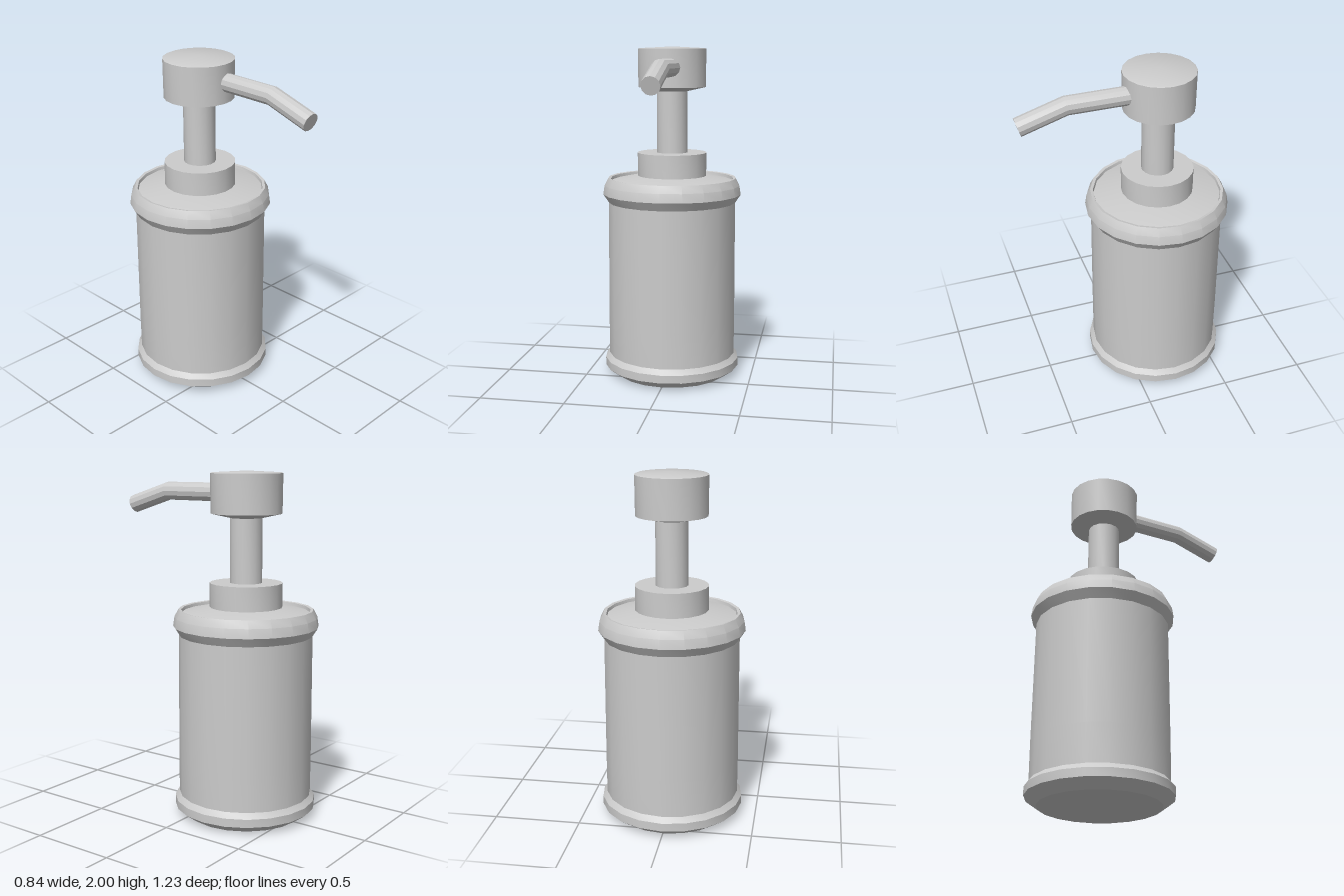
import * as THREE from 'three';
import { toCreasedNormals } from 'three/addons/utils/BufferGeometryUtils.js';

const AXIS_Z = -0.2;

export function createModel() {
  const model = new THREE.Group();
  const material = new THREE.MeshStandardMaterial({ color: 0xcccccc });

  const add = (name, geometry) => {
    const mesh = new THREE.Mesh(toCreasedNormals(geometry, 0.4), material);
    mesh.name = name;
    model.add(mesh);
    return mesh;
  };
  // Turned part around the bottle axis, profile as [radius, height] from bottom to top
  const turn = (name, profile, sides = 20) => {
    const points = profile.map(([r, y]) => new THREE.Vector2(r, y));
    add(name, new THREE.LatheGeometry(points, sides)).position.z = AXIS_Z;
  };

  // Bottle
  turn('base', [[0, 0.003], [0.345, 0.003], [0.413, 0.052], [0.413, 0.1], [0.388, 0.13], [0.37, 0.13]]);
  turn('bottleBody', [[0.388, 0.1], [0.389, 0.35], [0.386, 1.08]]);
  turn('topRim', [[0.385, 1.07], [0.419, 1.122], [0.411, 1.175], [0.388, 1.219], [0.372, 1.216], [0.368, 1.198]]);
  turn('lid', [[0.37, 1.198], [0.21, 1.232], [0, 1.234]]);

  // Pump
  turn('collar', [[0.209, 1.225], [0.209, 1.371], [0, 1.371]]);
  turn('stem', [[0.093, 1.36], [0.093, 1.75]], 16);
  turn('pumpHead', [[0, 1.737], [0.09, 1.737], [0.203, 1.762], [0.205, 1.986], [0.195, 1.99], [0, 2]]);

  // Spout: a cylinder whose three rings are placed along the bent path
  const r = 0.053;
  const bend = 0.303;
  const rings = [
    { y: 1.878, z: -0.1, tilt: 0 },
    { y: 1.878, z: 0.333, tilt: bend / 2 },
    { y: 1.795, z: 0.599, tilt: bend },
  ];
  const spout = new THREE.CylinderGeometry(r, r, 2, 12, 2).rotateX(Math.PI / 2);
  const pos = spout.attributes.position;
  for (let i = 0; i < pos.count; i++) {
    const ring = rings[Math.round(pos.getZ(i)) + 1];
    const up = pos.getY(i);
    pos.setXYZ(i, pos.getX(i) + 0.027, ring.y + up * Math.cos(ring.tilt), ring.z + up * Math.sin(ring.tilt));
  }
  add('spout', spout);

  return model;
}
